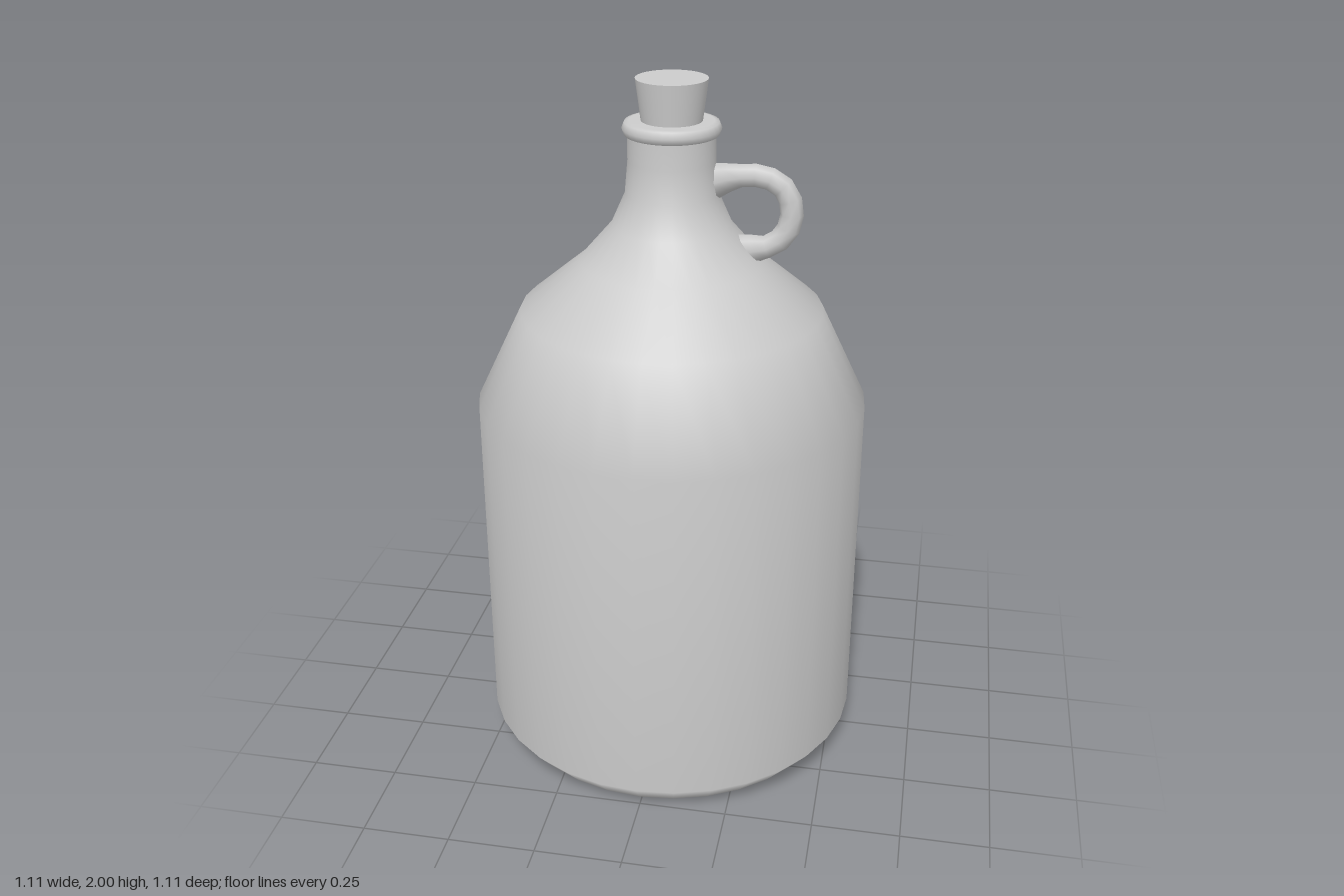
import * as THREE from 'three';

const SIDES = 32;
const material = new THREE.MeshStandardMaterial({ color: 0xcccccc });

function addMesh(group, name, geometry) {
  const mesh = new THREE.Mesh(geometry, material);
  mesh.name = name;
  group.add(mesh);
  return mesh;
}

// Profiles run from bottom to top so the faces point outward
function lathe(profile) {
  return new THREE.LatheGeometry(profile.map(([r, y]) => new THREE.Vector2(r, y)), SIDES);
}

// Tube whose two ends flare out where they join the jug
function flaredTube(points, steps, radius, sides, flare) {
  const curve = new THREE.CatmullRomCurve3(points.map(([x, y]) => new THREE.Vector3(x, y, 0)));
  const geometry = new THREE.TubeGeometry(curve, steps, radius, sides);
  const pos = geometry.attributes.position;
  const v = new THREE.Vector3();
  for (let i = 0; i <= steps; i++) {
    const t = i / steps;
    const centre = curve.getPointAt(t);
    const scale = 1 + flare * Math.max(0, 1 - Math.min(t, 1 - t) / 0.16);
    for (let j = 0; j <= sides; j++) {
      const k = i * (sides + 1) + j;
      v.fromBufferAttribute(pos, k).sub(centre);
      // Flare only within the plane of the loop
      pos.setXYZ(k, centre.x + v.x * scale, centre.y + v.y * scale, v.z);
    }
  }
  return geometry;
}

export function createModel() {
  const jug = new THREE.Group();
  jug.name = 'jug';

  // Base, straight wall, shoulder and neck in one smooth turn
  addMesh(jug, 'body', lathe([
    [0, 0], [0.29, 0.004], [0.5, 0.025], [0.555, 0.09], [0.555, 1.09],
    [0.425, 1.36], [0.255, 1.5], [0.168, 1.6], [0.128, 1.69], [0.12, 1.78], [0.12, 1.86],
  ]));

  // Rounded lip around the mouth
  addMesh(jug, 'lip', lathe([
    [0.115, 1.848], [0.128, 1.851], [0.135, 1.868], [0.128, 1.885], [0.115, 1.888], [0, 1.888],
  ]));

  // Tapered stopper
  const cork = addMesh(jug, 'cork', new THREE.CylinderGeometry(0.098, 0.081, 0.13, SIDES));
  cork.position.y = 1.935;

  // Finger loop on the left of the neck
  addMesh(jug, 'handle', flaredTube([
    [0.11, 1.725], [0.17, 1.743], [0.255, 1.745], [0.31, 1.712], [0.33, 1.65],
    [0.313, 1.588], [0.27, 1.553], [0.22, 1.541], [0.185, 1.53],
  ], 12, 0.032, 8, 0.6));

  return jug;
}
